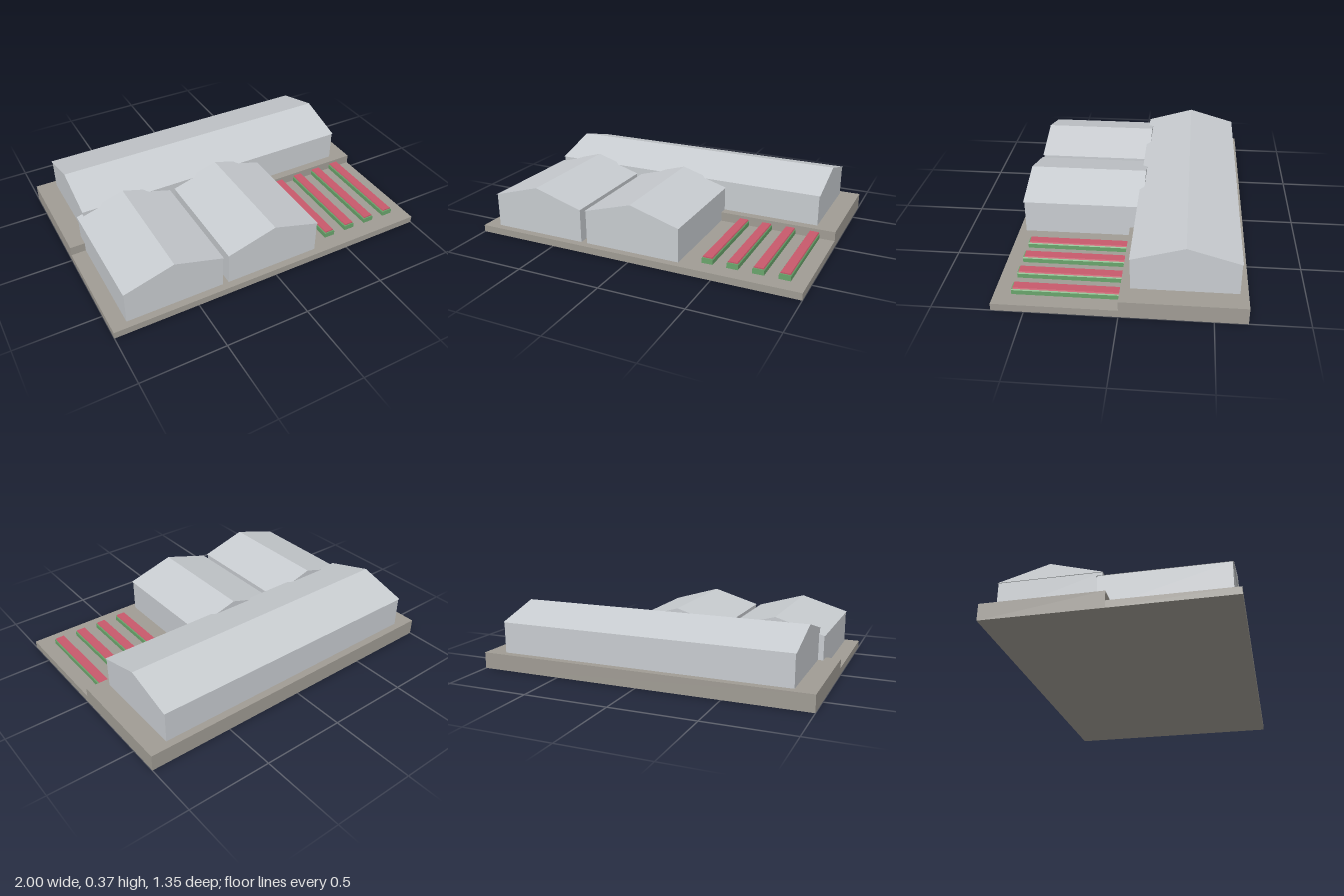
import * as THREE from 'three';

const mat = (name, color) => new THREE.MeshStandardMaterial({ name, color });

export function createModel() {
  const model = new THREE.Group();
  model.name = 'nurseryGreenhouses';
  const stone = mat('stone', 0xa09c94);
  const pane = mat('paleGrey', 0xc8ccd0);
  const leaf = mat('leafGreen', 0x6aa56c);
  const bloom = mat('bloomRed', 0xc85a6c);

  const box = (parent, name, material, x0, x1, y0, y1, z0, z1) => {
    const mesh = new THREE.Mesh(new THREE.BoxGeometry(x1 - x0, y1 - y0, z1 - z0), material);
    mesh.position.set((x0 + x1) / 2, (y0 + y1) / 2, (z0 + z1) / 2);
    mesh.name = name;
    parent.add(mesh);
    return mesh;
  };

  // Extrudes an x/y outline along +z
  const prism = (parent, name, material, points, depth) => {
    const shape = new THREE.Shape(points.map(([x, y]) => new THREE.Vector2(x, y)));
    const geometry = new THREE.ExtrudeGeometry(shape, { depth, bevelEnabled: false });
    const mesh = new THREE.Mesh(geometry, material);
    mesh.name = name;
    parent.add(mesh);
    return mesh;
  };

  // Stepped ground: high terrace behind, low terrace in front
  box(model, 'backTerrace', stone, -1, 1, 0, 0.098, -0.677, 0);
  box(model, 'frontTerrace', stone, -1, 1, 0, 0.042, 0, 0.677);

  // Gabled hall with its ridge along local z, centred on the origin
  const hall = (name, width, length, y0, eave, ridge, overhang) => {
    const group = new THREE.Group();
    group.name = name;
    const w = width / 2, l = length / 2, r = w + 0.004;
    box(group, 'walls', pane, -w, w, y0, eave, -l, l);
    const roof = prism(group, 'roof', pane, [[-r, eave], [r, eave], [0, ridge]], length + 2 * overhang);
    roof.position.z = -l - overhang;
    model.add(group);
    return group;
  };

  const back = hall('backHall', 0.58, 1.76, 0.098, 0.285, 0.37, 0.005);
  back.rotation.y = Math.PI / 2;
  back.position.z = -0.342;

  for (const [name, x] of [['frontHallRight', -0.62], ['frontHallLeft', 0]]) {
    const front = hall(name, 0.582, 0.704, 0.042, 0.244, 0.331, 0.006);
    front.position.set(x, 0, 0.282);
  }

  // Planting beds: tapered green rows topped with a strip of flowers
  for (let i = 0; i < 4; i++) {
    const bed = new THREE.Group();
    bed.name = 'flowerBed' + (i + 1);
    bed.position.x = 0.439 + i * 0.146;
    prism(bed, 'foliage', leaf,
      [[-0.033, 0.042], [0.033, 0.042], [0.033, 0.068], [0.029, 0.074], [-0.029, 0.074], [-0.033, 0.068]], 0.582);
    prism(bed, 'flowers', bloom,
      [[-0.029, 0.074], [0.029, 0.074], [0.026, 0.081], [-0.026, 0.081]], 0.575);
    model.add(bed);
  }
  return model;
}
